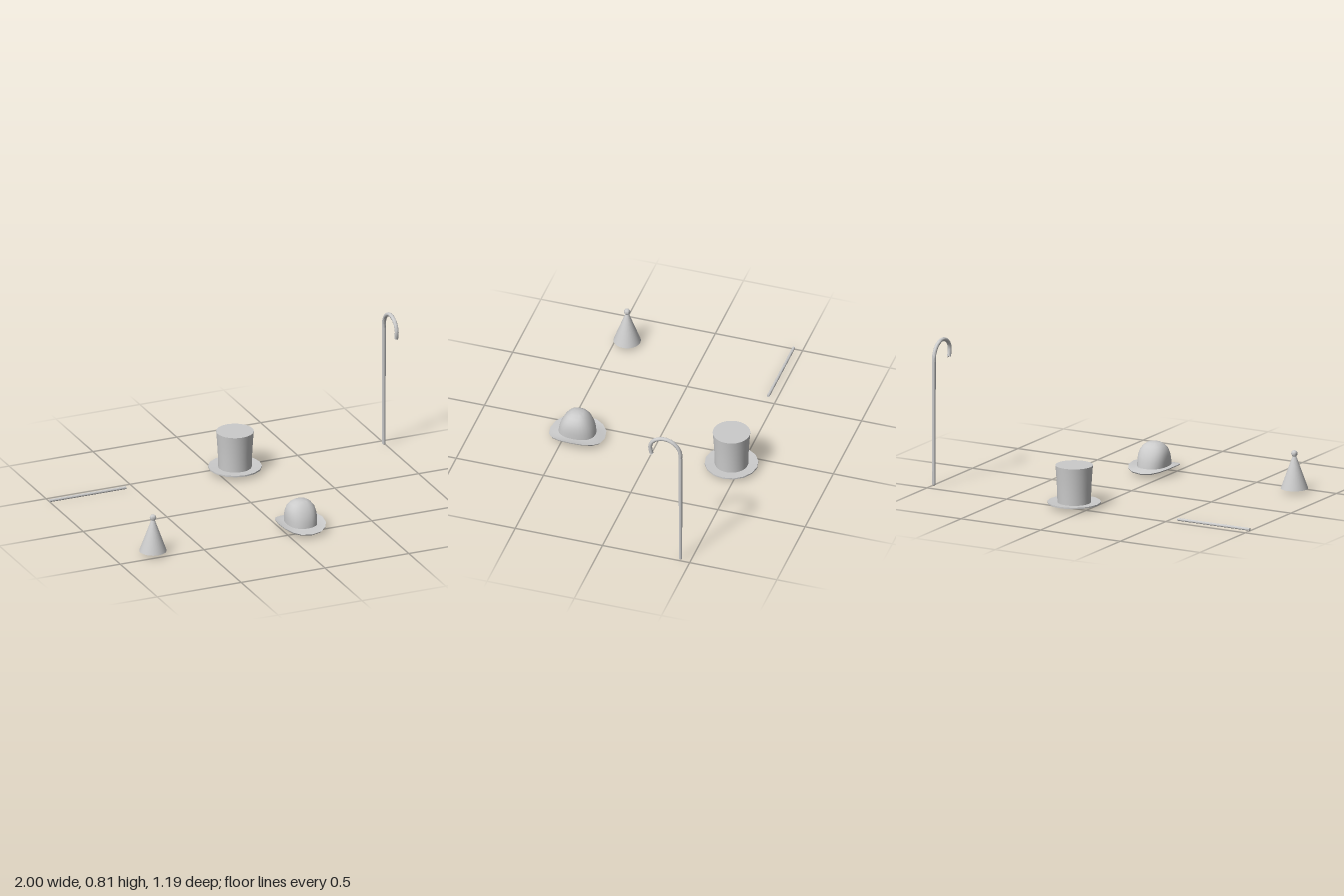
import * as THREE from 'three';
import { toCreasedNormals } from 'three/addons/utils/BufferGeometryUtils.js';

const material = new THREE.MeshStandardMaterial({ color: 0xcccccc, side: THREE.DoubleSide });

function add(parent, name, geometry, x = 0, y = 0, z = 0) {
  const mesh = new THREE.Mesh(toCreasedNormals(geometry, 0.7), material);
  mesh.name = name;
  mesh.position.set(x, y, z);
  parent.add(mesh);
  return mesh;
}

function group(parent, name, x, z) {
  const g = new THREE.Group();
  g.name = name;
  g.position.set(x, 0, z);
  parent.add(g);
  return g;
}

function lathe(points, sides) {
  return new THREE.LatheGeometry(points.map(([r, y]) => new THREE.Vector2(r, y)), sides);
}

// Skin a list of closed rings; each ring is a function from angle to [x, y, z]
function skin(rings, sides) {
  const pos = [], index = [];
  for (const ring of rings) {
    for (let i = 0; i < sides; i++) pos.push(...ring((i / sides) * Math.PI * 2));
  }
  for (let r = 0; r < rings.length - 1; r++) {
    for (let i = 0; i < sides; i++) {
      const j = (i + 1) % sides;
      const a = r * sides + i, b = r * sides + j;
      index.push(a, a + sides, b, b, a + sides, b + sides);
    }
  }
  const geo = new THREE.BufferGeometry();
  geo.setAttribute('position', new THREE.Float32BufferAttribute(pos, 3));
  geo.setIndex(index);
  geo.computeVertexNormals();
  return geo;
}

// Rounded oval outline, a little squarer than an ellipse
function oval(angle, rx, rz) {
  const soften = (v) => Math.sign(v) * Math.abs(v) ** 0.85;
  return [rx * soften(Math.cos(angle)), rz * soften(Math.sin(angle))];
}

function buildBowler(root) {
  const g = group(root, 'bowlerHat', 0.105, 0.432);
  // Crown sections: height, half width, half length
  const crown = [
    [0.036, 0.084, 0.104], [0.07, 0.085, 0.099], [0.1, 0.083, 0.089],
    [0.13, 0.075, 0.073], [0.152, 0.058, 0.054], [0.166, 0.036, 0.034],
    [0.171, 0.001, 0.001],
  ].map(([y, rx, rz]) => (a) => {
    const [x, z] = oval(a, rx, rz);
    return [x, y, z];
  });
  add(g, 'bowlerCrown', skin(crown, 24));

  // Brim sections: half width, half length, side height, end height
  const brim = [
    [0.084, 0.104, 0.039, 0.037], [0.108, 0.13, 0.041, 0.03], [0.13, 0.157, 0.047, 0.022],
    [0.128, 0.152, 0.041, 0.015], [0.106, 0.128, 0.035, 0.024], [0.082, 0.102, 0.033, 0.032],
  ].map(([rx, rz, side, end]) => (a) => {
    const [x, z] = oval(a, rx, rz);
    return [x, side + (end - side) * Math.sin(a) ** 2, z];
  });
  add(g, 'bowlerBrim', skin(brim.reverse(), 16));
}

function buildTopHat(root) {
  const g = group(root, 'topHat', 0.104, -0.45);
  add(g, 'topHatCrown', lathe([[0.092, 0.024], [0.094, 0.1], [0.098, 0.17], [0.103, 0.233], [0, 0.233]], 32));
  // Thick brim with an open head hole
  add(g, 'topHatBrim', lathe([
    [0.075, 0.024], [0.075, 0.015], [0.105, 0.014], [0.147, 0.02], [0.147, 0.028], [0.092, 0.025], [0.075, 0.024],
  ], 16));
}

function buildPartyHat(root) {
  const g = group(root, 'partyHat', -0.775, 0.433);
  add(g, 'partyHatCone', new THREE.CylinderGeometry(0.01, 0.075, 0.18, 32, 1, true), 0, 0.108, 0);
  add(g, 'pompom', new THREE.SphereGeometry(0.018, 12, 8), 0, 0.213, 0);
}

function buildCane(root) {
  const g = group(root, 'cane', 0.989, 0);
  const r = 0.011;
  const shaftZ = -0.444;
  add(g, 'caneShaft', new THREE.CylinderGeometry(r, r * 0.85, 0.69, 10), 0, 0.355, shaftZ);
  add(g, 'caneTip', new THREE.SphereGeometry(r * 0.85, 10, 6), 0, 0.0125, shaftZ);

  // Hooked handle curling forward
  const path = new THREE.CatmullRomCurve3([
    [0.7, shaftZ], [0.735, -0.441], [0.769, -0.424], [0.793, -0.396], [0.805, -0.36],
    [0.799, -0.32], [0.777, -0.286], [0.742, -0.27], [0.695, -0.277],
  ].map(([y, z]) => new THREE.Vector3(0, y, z)));
  add(g, 'caneHook', new THREE.TubeGeometry(path, 16, r, 10));
  const cap = add(g, 'caneHookEnd', new THREE.CircleGeometry(r, 10));
  cap.position.copy(path.getPoint(1));
  cap.lookAt(path.getPoint(1).add(path.getTangent(1)));
}

function buildWand(root) {
  const g = group(root, 'wand', -0.7735, -0.45);
  const stick = new THREE.CylinderGeometry(0.008, 0.008, 0.453, 12);
  stick.rotateZ(Math.PI / 2);
  add(g, 'wandStick', stick, 0, 0.009, 0);
}

export function createModel() {
  const root = new THREE.Group();
  root.name = 'hatsAndSticks';
  buildBowler(root);
  buildTopHat(root);
  buildPartyHat(root);
  buildCane(root);
  buildWand(root);
  return root;
}
